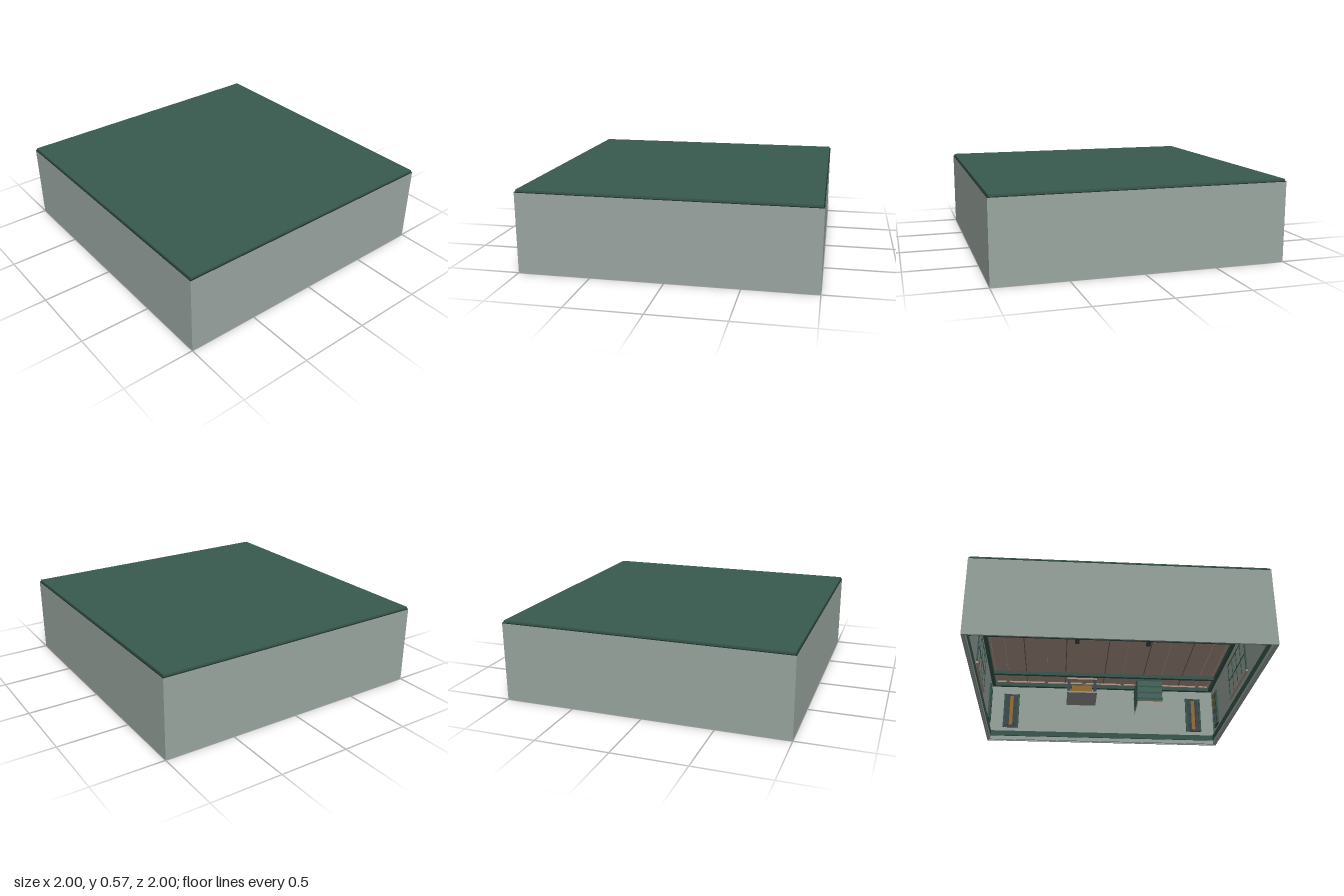
import * as THREE from 'three';

const mat = (name, color) => Object.assign(new THREE.MeshStandardMaterial({ color }), { name });

export function createModel() {
  const wallGrey = mat('wall grey green', 0x9ba7a1);
  const green = mat('dark green', 0x38594f);
  const timber = mat('pale timber', 0xb39d8e);
  const seamBrown = mat('seam brown', 0x6e5c50);
  const slate = mat('slate', 0x3d4a50);
  const gold = mat('gold', 0x96702e);
  const shelfGreen = mat('shelf green', 0x48695e);
  const stone = mat('stone', 0x9a9a9a);
  const eaveDark = mat('eave dark green', 0x1f322c);

  const model = new THREE.Group();
  model.name = 'room';

  const box = (parent, name, m, w, h, d, x, y, z) => {
    const mesh = new THREE.Mesh(new THREE.BoxGeometry(w, h, d), m);
    mesh.name = name;
    mesh.position.set(x, y, z);
    parent.add(mesh);
  };

  // Roof slab, dark eave and boarded ceiling
  box(model, 'roof', green, 1.986, 0.014, 1.986, 0, 0.565, 0);
  box(model, 'eave', eaveDark, 2, 0.004, 2, 0, 0.556, 0);
  box(model, 'ceiling', timber, 1.97, 0.008, 1.97, 0, 0.549, 0);
  for (let i = -5; i <= 5; i++) {
    if (i % 2) box(model, 'ceilingBatten', timber, 0.03, 0.014, 1.96, i * 0.17, 0.539, 0);
    else box(model, 'ceilingSeam', seamBrown, 0.006, 0.003, 1.96, i * 0.17, 0.5445, 0);
  }

  // Beams across the ceiling, with hangers under the middle one
  for (const z of [-0.72, 0, 0.72]) box(model, 'beam', green, 1.96, 0.03, 0.03, 0, 0.52, z);
  for (const x of [-0.26, 0.3]) box(model, 'beamHanger', slate, 0.035, 0.015, 0.12, x, 0.497, 0);

  // Narrow corner panel, built facing +z
  const cornerPanel = (parent, x) => {
    const g = new THREE.Group();
    g.name = 'cornerPanel';
    g.position.set(x, 0.275, 0);
    box(g, 'panelBack', slate, 0.13, 0.31, 0.008, 0, 0, 0.004);
    box(g, 'panelCentre', gold, 0.03, 0.27, 0.004, 0, 0, 0.01);
    for (const s of [-1, 1]) {
      box(g, 'panelSide', green, 0.014, 0.31, 0.016, s * 0.06, 0, 0.008);
      box(g, 'panelBar', slate, 0.012, 0.27, 0.012, s * 0.028, 0, 0.008);
    }
    parent.add(g);
  };

  // Paned window, built facing +z
  const wideWindow = (parent) => {
    const g = new THREE.Group();
    g.name = 'wideWindow';
    g.position.set(0, 0.3, 0);
    box(g, 'glass', wallGrey, 0.53, 0.27, 0.006, 0, 0, 0.003);
    for (let i = 0; i < 5; i++) {
      box(g, 'upright', green, i % 4 ? 0.008 : 0.012, 0.28, 0.01, (i - 2) * 0.13, 0, 0.005);
    }
    for (let i = -1; i <= 1; i++) box(g, 'crossBar', green, 0.53, 0.008, 0.009, 0, i * 0.136, 0.0045);
    box(g, 'sill', timber, 0.56, 0.014, 0.016, 0, -0.15, 0.008);
    parent.add(g);
  };

  // Four walls, each turned into place with its inner trim
  for (let i = 0; i < 4; i++) {
    const side = new THREE.Group();
    side.name = ['backWall', 'leftHandWall', 'frontWall', 'rightHandWall'][i];
    side.rotation.y = i * Math.PI / 2;
    box(side, 'wall', wallGrey, 1.988, 0.554, 0.012, 0.006, 0.277, -0.994);
    const inner = new THREE.Group();
    inner.name = 'innerTrim';
    inner.position.z = -0.988;
    box(inner, 'skirting', green, 1.976, 0.045, 0.014, 0, 0.062, 0.007);
    box(inner, 'skirtingFoot', wallGrey, 1.976, 0.03, 0.012, 0, 0.022, 0.006);
    box(inner, 'cornice', green, 1.976, 0.03, 0.03, 0, 0.518, 0.015);
    box(inner, 'corniceStrip', timber, 1.976, 0.014, 0.045, 0, 0.538, 0.0225);
    cornerPanel(inner, -0.81);
    cornerPanel(inner, 0.81);
    if (i % 2) wideWindow(inner);
    side.add(inner);
    model.add(side);
  }

  // Hollow rectangular band, open above and below
  const band = (parent, name, m, w, h, d, y) => {
    const geo = new THREE.CylinderGeometry(Math.SQRT1_2, Math.SQRT1_2, 1, 4, 1, true);
    geo.rotateY(Math.PI / 4);
    geo.scale(w, h, d);
    const mesh = new THREE.Mesh(geo.toNonIndexed(), m);
    mesh.geometry.computeVertexNormals();
    mesh.name = name;
    mesh.position.y = y;
    parent.add(mesh);
  };

  // Shelved cabinet
  const cabinet = new THREE.Group();
  cabinet.name = 'cabinet';
  cabinet.position.set(0.305, 0, -0.19);
  band(cabinet, 'cabinetFoot', timber, 0.19, 0.025, 0.25, 0.0125);
  band(cabinet, 'cabinetBody', shelfGreen, 0.19, 0.18, 0.25, 0.115);
  for (let i = 0; i < 4; i++) band(cabinet, 'cabinetShelf', green, 0.196, 0.012, 0.256, 0.045 + i * 0.05);
  model.add(cabinet);

  // Low stove on a stone hearth
  const stove = new THREE.Group();
  stove.name = 'stove';
  stove.position.set(-0.22, 0, 0);
  box(stove, 'hearth', stone, 0.22, 0.012, 0.25, 0, 0.006, 0);
  box(stove, 'fireBox', gold, 0.15, 0.06, 0.18, 0, 0.042, 0);
  for (const s of [-1, 1]) {
    for (const z of [-1, 1]) box(stove, 'stovePost', slate, 0.02, 0.1, 0.02, s * 0.095, 0.06, z * 0.11);
    box(stove, 'stoveRail', timber, 0.016, 0.012, 0.25, s * 0.1, 0.112, 0);
    box(stove, 'stoveRail', timber, 0.2, 0.012, 0.016, 0, 0.112, s * 0.117);
  }
  model.add(stove);

  return model;
}
